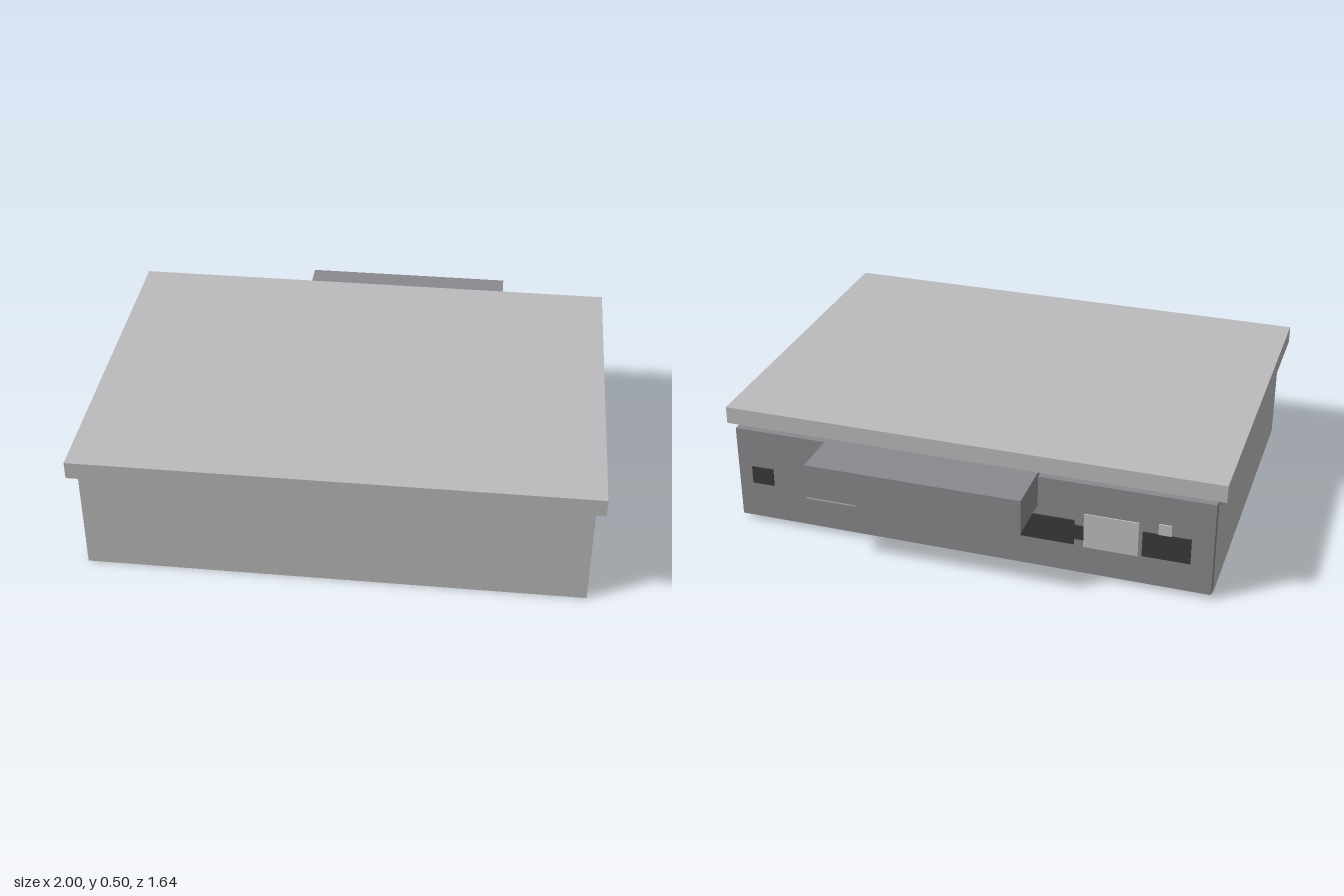
import * as THREE from 'three';

export function createModel() {
  const group = new THREE.Group();
  const mat = (name, color) => {
    const m = new THREE.MeshStandardMaterial({ color });
    m.name = name;
    return m;
  };
  const casing = mat('casing grey', 0xbbbbbd);
  const backGrey = mat('back panel grey', 0x8a898e);
  const plate = mat('plate grey', 0xc0c0c2);
  const dark = mat('port black', 0x3a3a3e);

  // Box given by its limits on each axis
  const box = (name, material, x0, x1, y0, y1, z0, z1) => {
    const mesh = new THREE.Mesh(new THREE.BoxGeometry(x1 - x0, y1 - y0, z1 - z0), material);
    mesh.position.set((x0 + x1) / 2, (y0 + y1) / 2, (z0 + z1) / 2);
    mesh.name = name;
    group.add(mesh);
  };

  // Main casing with overhanging lid
  box('body', casing, -0.965, 0.965, 0, 0.43, -0.565, 0.785);
  box('lid', casing, -1, 1, 0.43, 0.5, -0.605, 0.82);

  // Recessed back panel and the block projecting from it
  const back = -0.605;
  box('backPanel', backGrey, -0.965, 0.965, 0.02, 0.413, back, -0.565);
  box('rearBlock', backGrey, -0.285, 0.57, 0.29, 0.43, -0.82, -0.565);

  // Thin plates on the back panel
  const onBack = (name, material, x0, x1, y0, y1, depth = 0.007) =>
    box(name, material, x0, x1, y0, y1, back - depth, back);

  for (const x of [0.815, -0.195]) onBack('smallPort', dark, x, x + 0.09, 0.177, 0.25);
  onBack('leftConnectorPlate', plate, 0.465, 0.675, 0.145, 0.285, 0.006);
  onBack('rightConnectorPlate', plate, -0.68, -0.468, 0.14, 0.285, 0.006);
  onBack('widePort', dark, -0.43, -0.22, 0.145, 0.25);
  onBack('widePortTab', dark, -0.468, -0.43, 0.17, 0.23);
  onBack('outerPort', dark, -0.88, -0.695, 0.145, 0.25);
  onBack('portClip', plate, -0.805, -0.755, 0.25, 0.295, 0.006);

  // Slatted opening on the left connector plate
  for (let i = 0; i < 4; i++) {
    const y = 0.18 + i * 0.02;
    onBack('ventSlat', dark, 0.52, 0.61, y, y + 0.01);
  }
  return group;
}
